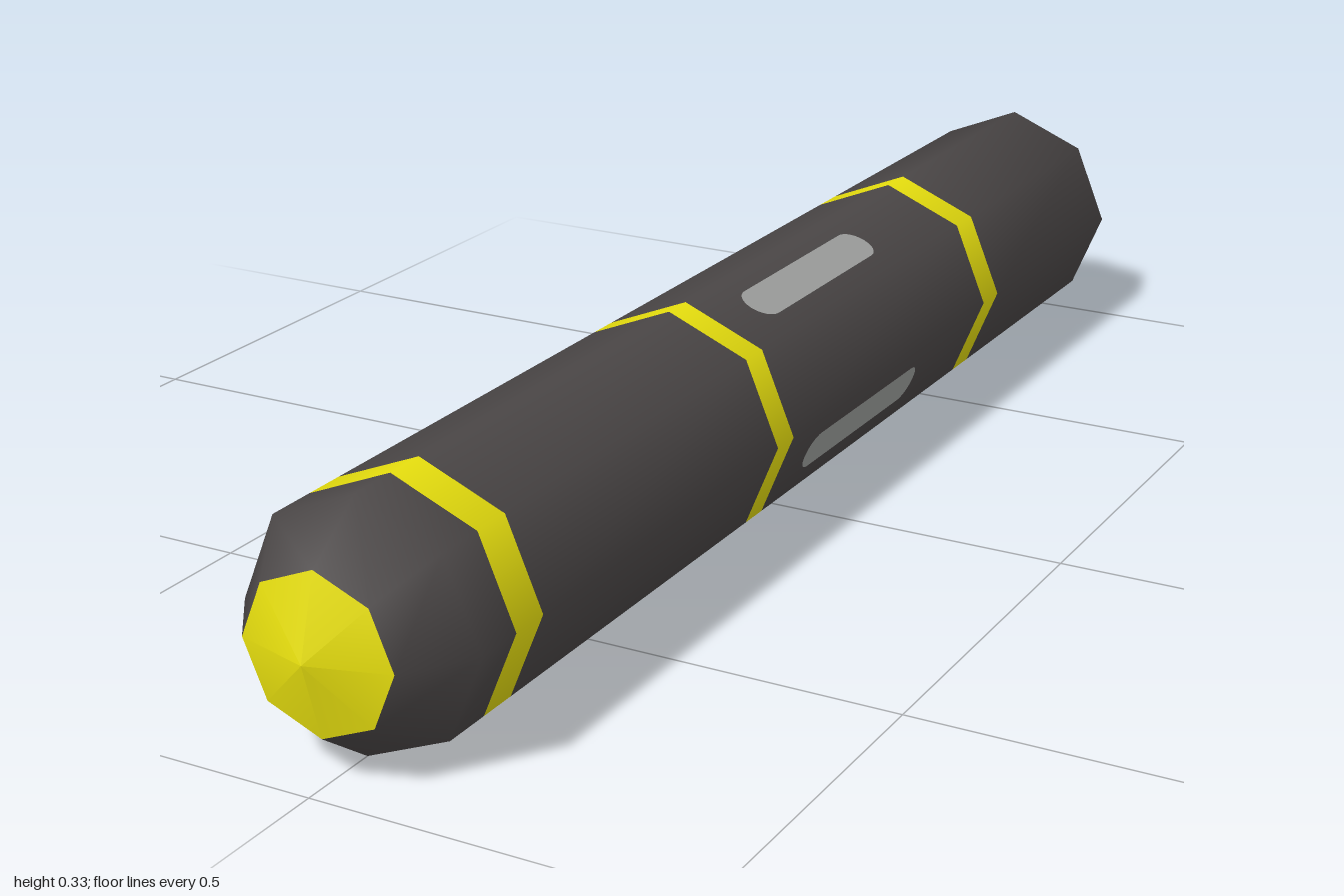
import * as THREE from 'three';

const R = 0.164;   // corner radius of the octagonal body
const SIDES = 8;

const mat = (name, color, side = THREE.FrontSide) => {
  const m = new THREE.MeshStandardMaterial({ color, side });
  m.name = name;
  return m;
};

// Octagonal turned section along z; profile is [radius, z] from back to front
function section(name, material, profile) {
  const geo = new THREE.LatheGeometry(profile.map(([r, z]) => new THREE.Vector2(r, z)), SIDES);
  geo.rotateX(Math.PI / 2);
  const mesh = new THREE.Mesh(geo, material);
  mesh.name = name;
  return mesh;
}

// Flat slot with rounded ends, long side along y
function slotGeometry(width, length) {
  const r = width / 2, h = length / 2 - r;
  const s = new THREE.Shape();
  s.absarc(0, h, r, 0, Math.PI, false);
  s.absarc(0, -h, r, Math.PI, Math.PI * 2, false);
  s.closePath();
  return new THREE.ShapeGeometry(s, 8);
}

export function createModel() {
  const charcoal = mat('charcoal', 0x4a4646);
  const yellow = mat('yellow', 0xe6de0e);
  const grey = mat('grey', 0x9c9e9c, THREE.DoubleSide);

  const model = new THREE.Group();
  model.name = 'capsule';
  const hull = new THREE.Group();
  hull.name = 'hull';
  hull.position.y = R;
  model.add(hull);

  // Dark body sections, with a softly shaded closed tail and a tapered nose
  hull.add(
    section('tail', charcoal, [[0, -1], [R, -1], [R, -0.557]]),
    section('rearBody', charcoal, [[R, -0.504], [R, 0.131]]),
    section('frontBody', charcoal, [[R, 0.176], [R, 0.76]]),
    section('nose', charcoal, [[R, 0.817], [R, 0.887], [0.104, 0.97]]),
    section('noseTip', yellow, [[0.104, 0.97], [0, 1]])
  );

  // Yellow bands
  [['rearBand', -0.557, -0.504], ['middleBand', 0.131, 0.176], ['frontBand', 0.76, 0.817]]
    .forEach(([name, a, b]) => hull.add(section(name, yellow, [[R, a], [R, b]])));

  // Grey slots on every second face
  const slot = slotGeometry(0.058, 0.35);
  slot.rotateX(-Math.PI / 2);
  slot.translate(0, R * Math.cos(Math.PI / SIDES) + 0.002, -0.122);
  for (let i = 0; i < 4; i++) {
    const mesh = new THREE.Mesh(slot, grey);
    mesh.name = 'slot' + (i + 1);
    mesh.rotation.z = -Math.PI / SIDES + i * Math.PI / 2;
    hull.add(mesh);
  }
  return model;
}
